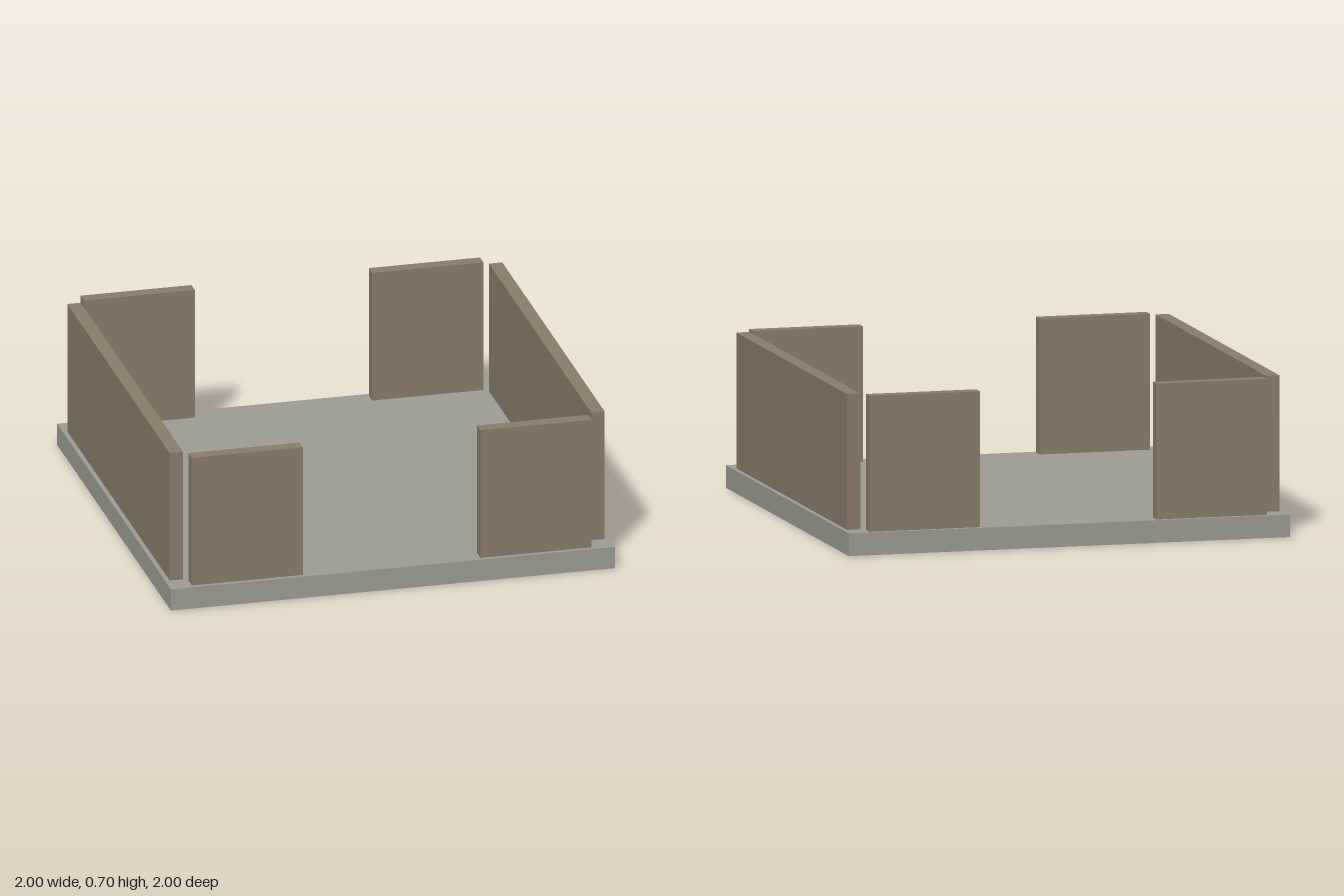
import * as THREE from 'three';

export function createModel() {
  const model = new THREE.Group();
  model.name = 'walledPlatform';

  const stone = new THREE.MeshStandardMaterial({ color: 0x9e9e94 });
  stone.name = 'stone grey';
  const wood = new THREE.MeshStandardMaterial({ color: 0x8b7d6b });
  wood.name = 'wall brown';

  const addBox = (name, material, size, position) => {
    const mesh = new THREE.Mesh(new THREE.BoxGeometry(...size), material);
    mesh.name = name;
    mesh.position.set(...position);
    model.add(mesh);
  };

  // Floor slab
  addBox('floor', stone, [2, 0.1, 2], [0, 0.05, 0]);

  // Long side walls, with short front and back walls either side of the openings
  const height = 0.6, thickness = 0.06, y = 0.4, inset = 0.95;
  for (const [side, sx] of [['left', 1], ['right', -1]]) {
    addBox(`${side}Wall`, wood, [thickness, height, 1.8], [sx * inset, y, 0]);
    for (const [end, sz] of [['Front', 1], ['Back', -1]]) {
      addBox(`${side}${end}Wall`, wood, [0.5, height, thickness], [sx * 0.65, y, sz * inset]);
    }
  }

  return model;
}
